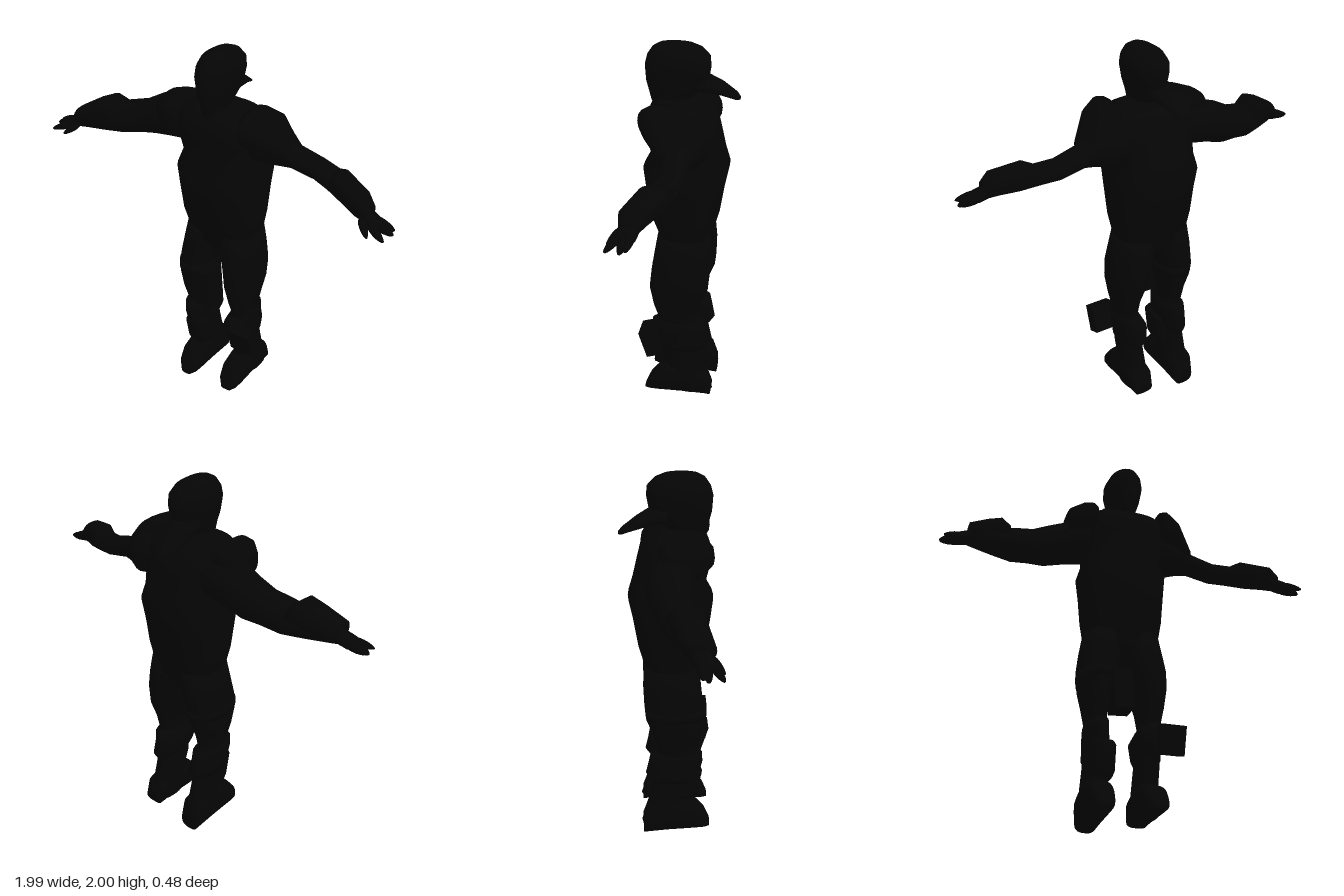
import * as THREE from 'three';

const black = new THREE.MeshStandardMaterial({ color: 0x050505 });
black.name = 'black';

// Closed smooth loft along an axis (0 = x, 1 = y, 2 = z).
// Each ring: [position, centre b, centre c, radius b, radius c], b and c being the next two axes in cyclic order.
function loft(axis, rings, power = 2.3, segs = 20) {
  rings = [...rings].sort((p, q) => p[0] - q[0]);
  const b = (axis + 1) % 3, c = (axis + 2) % 3, pos = [], idx = [];
  const put = (a, vb, vc) => { const p = [0, 0, 0]; p[axis] = a; p[b] = vb; p[c] = vc; pos.push(...p); };
  const bend = v => Math.sign(v) * Math.abs(v) ** (2 / power);
  for (const [a, cb, cc, rb, rc] of rings)
    for (let j = 0; j < segs; j++) {
      const t = (j / segs) * Math.PI * 2;
      put(a, cb + rb * bend(Math.cos(t)), cc + rc * bend(Math.sin(t)));
    }
  for (let i = 0; i < rings.length - 1; i++)
    for (let j = 0; j < segs; j++) {
      const p = i * segs + j, q = i * segs + (j + 1) % segs;
      idx.push(p, q, p + segs, q, q + segs, p + segs);
    }
  const last = (rings.length - 1) * segs, lo = rings.length * segs;
  put(...rings[0].slice(0, 3));
  put(...rings[rings.length - 1].slice(0, 3));
  for (let j = 0; j < segs; j++) {
    const k = (j + 1) % segs;
    idx.push(lo, k, j, lo + 1, last + j, last + k);
  }
  const g = new THREE.BufferGeometry();
  g.setAttribute('position', new THREE.Float32BufferAttribute(pos, 3));
  g.setIndex(idx);
  g.computeVertexNormals();
  return g;
}

// Tapered finger between two points
function finger(from, to, r0, r1) {
  const a = new THREE.Vector3(...from), d = new THREE.Vector3(...to).sub(a);
  const g = new THREE.SphereGeometry(1, 10, 8);
  const p = g.attributes.position, len = d.length();
  for (let i = 0; i < p.count; i++) {
    const y = p.getY(i), r = THREE.MathUtils.lerp(r0, r1, (y + 1) / 2);
    p.setXYZ(i, p.getX(i) * r, (y + 1) / 2 * len, p.getZ(i) * r);
  }
  g.applyQuaternion(new THREE.Quaternion().setFromUnitVectors(new THREE.Vector3(0, 1, 0), d.normalize()));
  g.translate(a.x, a.y, a.z);
  g.computeVertexNormals();
  return g;
}

export function createModel() {
  const model = new THREE.Group();
  model.name = 'figure';
  const add = (name, geometry) => {
    const m = new THREE.Mesh(geometry, black);
    m.name = name;
    model.add(m);
    return m;
  };
  // Flip the x value of rings given for the left side
  const flip = (rings, axis, s) => rings.map(r => r.map((v, k) => (k === (axis === 0 ? 0 : axis === 1 ? 2 : 1) ? v * s : v)));

  // Torso with vest
  add('torso', loft(1, [
    [0.89, 0.02, 0, 0.1, 0.08], [0.94, 0.02, 0, 0.135, 0.16], [1.0, 0.02, 0, 0.142, 0.198], [1.1, 0.025, 0, 0.175, 0.212],
    [1.25, 0.025, 0, 0.2, 0.222], [1.36, 0.02, 0, 0.218, 0.232], [1.44, 0.01, 0, 0.185, 0.208],
    [1.55, 0.035, 0, 0.185, 0.22], [1.63, 0.045, 0, 0.175, 0.225], [1.69, 0.06, 0, 0.135, 0.2], [1.715, 0.07, 0, 0.08, 0.1],
  ], 2.7, 28));

  // Head with backwards cap
  add('head', loft(1, [
    [1.63, 0.08, 0, 0.09, 0.06], [1.7, 0.11, 0, 0.09, 0.05], [1.74, 0.09, 0, 0.12, 0.06], [1.8, 0.07, 0, 0.155, 0.082],
    [1.88, 0.065, 0, 0.165, 0.099], [1.93, 0.06, 0, 0.157, 0.096], [1.97, 0.065, 0, 0.125, 0.075],
    [1.99, 0.07, 0, 0.085, 0.045], [2.0, 0.075, 0, 0.03, 0.015],
  ], 2.1, 24));
  add('capBill', loft(2, [
    [-0.24, -0.05, 1.708, 0.02, 0.004], [-0.22, -0.05, 1.72, 0.05, 0.012], [-0.15, -0.045, 1.757, 0.07, 0.028],
    [-0.08, -0.03, 1.785, 0.08, 0.04], [0, -0.02, 1.79, 0.08, 0.035],
  ]));

  // Arms: the right one has a loose sleeve
  add('rightArm', loft(0, flip([
    [0.12, 1.56, 0.02, 0.1, 0.12], [0.3, 1.545, 0.01, 0.112, 0.125], [0.41, 1.515, 0, 0.11, 0.107], [0.5, 1.485, 0.02, 0.09, 0.095],
    [0.6, 1.462, 0.045, 0.088, 0.092], [0.7, 1.44, 0.08, 0.065, 0.08], [0.8, 1.425, 0.115, 0.05, 0.06],
    [0.85, 1.41, 0.135, 0.036, 0.045], [0.9, 1.39, 0.148, 0.028, 0.05], [0.925, 1.382, 0.155, 0.014, 0.04],
  ], 0, -1), 2.1));
  add('leftArm', loft(0, [
    [0.12, 1.56, 0.02, 0.1, 0.12], [0.25, 1.565, 0, 0.125, 0.13], [0.33, 1.55, 0.015, 0.095, 0.095], [0.4, 1.52, 0.018, 0.055, 0.07],
    [0.53, 1.49, 0.014, 0.05, 0.067], [0.62, 1.477, 0.04, 0.046, 0.075], [0.72, 1.455, 0.08, 0.05, 0.07],
    [0.8, 1.43, 0.12, 0.042, 0.06], [0.85, 1.41, 0.135, 0.032, 0.045], [0.9, 1.39, 0.148, 0.027, 0.05], [0.925, 1.382, 0.155, 0.014, 0.04],
  ], 2.1));

  // Fingers and thumbs
  for (const [side, s] of [['left', 1], ['right', -1]]) {
    add(side + 'IndexFinger', finger([s * 0.87, 1.395, 0.17], [s * 0.98, 1.355, 0.225], 0.024, 0.016));
    add(side + 'MiddleFinger', finger([s * 0.87, 1.4, 0.15], [s * 0.995, 1.36, 0.155], 0.026, 0.02));
    add(side + 'LittleFinger', finger([s * 0.86, 1.4, 0.125], [s * 0.99, 1.37, 0.13], 0.028, 0.018));
    add(side + 'Thumb', finger([s * 0.83, 1.41, 0.165], [s * 0.9, 1.35, 0.232], 0.024, 0.014));
  }

  // Shoulder and forearm guards
  add('rightShoulderPad', loft(0, flip([
    [0.175, 1.65, 0.09, 0.055, 0.12], [0.2, 1.65, 0.09, 0.072, 0.135], [0.25, 1.645, 0.09, 0.07, 0.135], [0.315, 1.625, 0.07, 0.07, 0.1],
  ], 0, -1), 3));
  add('leftShoulderPad', loft(0, [
    [0.185, 1.66, 0.09, 0.085, 0.12], [0.21, 1.66, 0.09, 0.085, 0.14], [0.29, 1.635, 0.06, 0.075, 0.13], [0.385, 1.55, 0.03, 0.035, 0.07],
  ], 2.6));
  add('rightForearmGuard', loft(0, flip([
    [0.63, 1.495, 0.06, 0.045, 0.085], [0.675, 1.5, 0.075, 0.077, 0.085], [0.75, 1.475, 0.095, 0.07, 0.08], [0.848, 1.44, 0.125, 0.047, 0.073],
  ], 0, -1), 2.5));
  add('leftForearmGuard', loft(0, [
    [0.63, 1.48, 0.045, 0.045, 0.07], [0.675, 1.487, 0.065, 0.057, 0.074], [0.82, 1.46, 0.125, 0.043, 0.068], [0.865, 1.425, 0.135, 0.03, 0.05],
  ], 2.5));

  // Legs and boots
  const legRings = [
    [0.07, -0.025, 0.135, 0.113, 0.066], [0.2, 0, 0.133, 0.1, 0.062], [0.3, 0.03, 0.133, 0.11, 0.058], [0.4, 0.04, 0.138, 0.11, 0.054],
    [0.5, 0.05, 0.142, 0.098, 0.048], [0.6, 0.055, 0.143, 0.125, 0.066], [0.7, 0.045, 0.14, 0.155, 0.086],
    [0.8, 0.035, 0.132, 0.155, 0.1], [0.9, 0.025, 0.112, 0.15, 0.106], [1.0, 0.02, 0.1, 0.138, 0.1],
  ];
  for (const [side, s, lift, heel] of [['left', 1, 0.045, 0.045], ['right', -1, 0.03, 0]]) {
    add(side + 'Leg', loft(1, flip(legRings, 1, s), 2.2));
    // Boot rings keep the sole flat, rising from heel to toe
    const boot = [
      [-0.13, 0.055, 0.1], [-0.1, 0.066, 0.19], [0, 0.067, 0.23], [0.08, 0.067, 0.215], [0.16, 0.065, 0.185], [0.205, 0.055, 0.13], [0.232, 0.03, 0.07],
    ].map(([z, w, top]) => {
      const sole = THREE.MathUtils.lerp(heel, lift, (z + 0.13) / 0.36);
      return [z, s * 0.135, (top + sole) / 2, w, (top - sole) / 2];
    });
    add(side + 'Boot', loft(2, boot, 2.8));
  }

  // Thigh pouch and strap on the right leg
  const pouch = add('thighPouch', new THREE.BoxGeometry(0.1, 0.21, 0.13));
  pouch.position.set(-0.037, 0.658, 0.145);
  pouch.rotation.z = 0.06;
  add('thighStrap', loft(1, [[0.72, 0.045, -0.135, 0.158, 0.094], [0.77, 0.04, -0.135, 0.158, 0.1]]));

  // Knee and shin guards
  add('rightShinGuard', loft(1, [
    [0.225, 0.055, -0.122, 0.09, 0.06], [0.25, 0.065, -0.118, 0.1, 0.065], [0.37, 0.085, -0.118, 0.105, 0.065], [0.39, 0.085, -0.12, 0.09, 0.06],
  ], 3));
  for (const s of [1, -1])
    add(s > 0 ? 'leftKneeStrap' : 'rightKneeStrap', loft(1, [
      [0.33, 0.03, s * 0.138, 0.12, 0.055], [0.37, 0.03, s * 0.13, 0.145, 0.06],
      [0.44, 0.045, s * (s > 0 ? 0.122 : 0.138), 0.145, s > 0 ? 0.07 : 0.055], [0.5, 0.05, s * 0.138, 0.138, 0.054],
    ]));
  const plate = add('leftKneePlate', new THREE.BoxGeometry(0.13, 0.15, 0.07));
  plate.position.set(0.212, 0.415, 0.185);
  plate.rotation.x = 0.3;
  return model;
}
